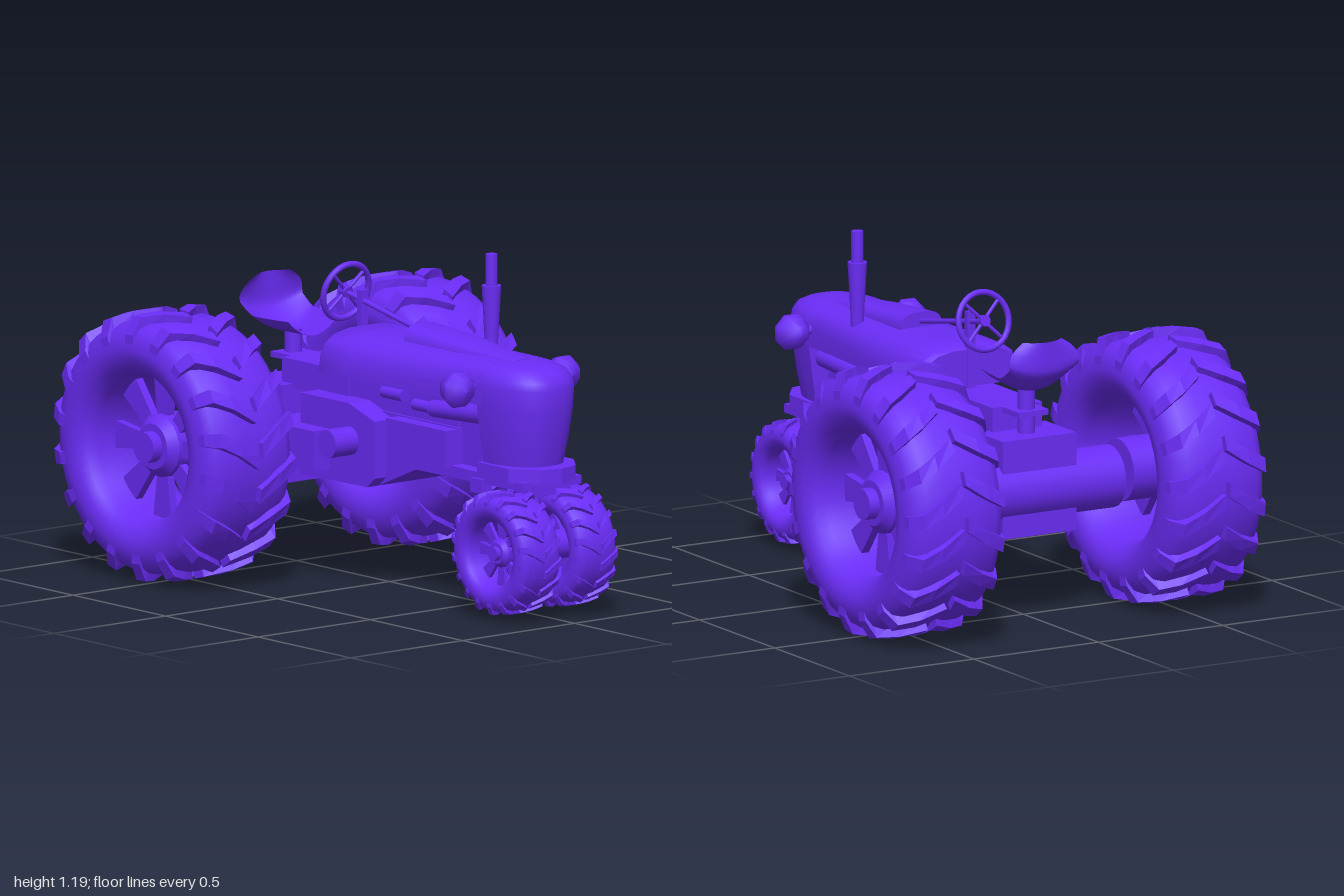
import * as THREE from 'three';
import { mergeGeometries, toCreasedNormals } from 'three/addons/utils/BufferGeometryUtils.js';

const paint = new THREE.MeshStandardMaterial({ color: 0x6a2cf5 });
const paintThin = new THREE.MeshStandardMaterial({ color: 0x6a2cf5, side: THREE.DoubleSide });

function add(parent, name, geo, x = 0, y = 0, z = 0, mat = paint) {
  const m = new THREE.Mesh(geo, mat);
  m.name = name;
  m.position.set(x, y, z);
  parent.add(m);
  return m;
}

// box given by its limits
function box(parent, name, x0, x1, y0, y1, z0, z1) {
  return add(parent, name, new THREE.BoxGeometry(x1 - x0, y1 - y0, z1 - z0),
    (x0 + x1) / 2, (y0 + y1) / 2, (z0 + z1) / 2);
}

// cylinder running from point a to point b
function rod(parent, name, a, b, ra, rb = ra, sides = 16) {
  const A = new THREE.Vector3(...a), B = new THREE.Vector3(...b), d = B.clone().sub(A);
  const m = add(parent, name, new THREE.CylinderGeometry(rb, ra, d.length(), sides));
  m.position.copy(A).add(B).multiplyScalar(0.5);
  m.quaternion.setFromUnitVectors(new THREE.Vector3(0, 1, 0), d.normalize());
  return m;
}

// side outline of [z, y] points, extruded from x0 to x1
function sideProfile(parent, name, pts, x0, x1) {
  const shape = new THREE.Shape(pts.map(p => new THREE.Vector2(...p)));
  const geo = new THREE.ExtrudeGeometry(shape, { depth: x1 - x0, bevelEnabled: false });
  return add(parent, name, geo.rotateY(-Math.PI / 2), x1);
}

// closed skin over a list of equal rings, capped at both ends
function loft(rings, crease = 0.7) {
  const n = rings[0].length, pos = rings.flat(2), idx = [];
  for (let i = 0; i < rings.length - 1; i++) {
    for (let j = 0; j < n; j++) {
      const k = (j + 1) % n, a = i * n + j, b = i * n + k;
      idx.push(a, b, a + n, b, b + n, a + n);
    }
  }
  [0, rings.length - 1].forEach((r, end) => {
    const c = pos.length / 3;
    for (let q = 0; q < 3; q++) pos.push(rings[r].reduce((s, p) => s + p[q], 0) / n);
    for (let j = 0; j < n; j++) {
      const a = r * n + j, b = r * n + (j + 1) % n;
      idx.push(c, ...(end ? [a, b] : [b, a]));
    }
  });
  const geo = new THREE.BufferGeometry();
  geo.setAttribute('position', new THREE.Float32BufferAttribute(pos, 3));
  geo.setIndex(idx);
  return toCreasedNormals(geo, crease);
}

// one arm of the chevron tread: a bar bent over the tyre's shoulder
function treadBar(side, angle) {
  const across = [0.008, 0.09, 0.16, 0.19], top = [0.472, 0.472, 0.462, 0.4], lag = [0, 0.12, 0.2, 0.22];
  const geo = new THREE.BoxGeometry(1, 1, 1, 3, 1, 1), p = geo.attributes.position;
  for (let i = 0; i < p.count; i++) {
    const k = Math.round((p.getX(i) + 0.5) * 3);
    const r = p.getY(i) > 0 ? top[k] : top[k] - 0.06;
    // turning the angle with the side keeps every face outward
    const a = angle + lag[k] - side * p.getZ(i) * 0.11;
    p.setXYZ(i, side * across[k], r * Math.sin(a), r * Math.cos(a));
  }
  const flat = geo.toNonIndexed();
  flat.computeVertexNormals();
  return flat;
}

// full wheel of radius 0.47; side says which way the hub points
function wheel(parent, name, side, x, y, z, scale) {
  const g = new THREE.Group();
  g.name = name;
  g.position.set(x, y, z);
  g.scale.setScalar(scale);
  parent.add(g);
  const half = [[0.255, 0.13], [0.275, 0.165], [0.31, 0.188], [0.35, 0.195], [0.39, 0.184], [0.42, 0.167], [0.438, 0.135], [0.447, 0.05]];
  const profile = [...half.map(([r, h]) => [r, -h]), ...half.reverse(), [0.255, -0.13]]
    .map(p => new THREE.Vector2(p[0], p[1]));
  add(g, 'tyre', toCreasedNormals(new THREE.LatheGeometry(profile, 48).rotateZ(-Math.PI / 2), 0.8));
  const bars = [];
  for (let i = 0; i < 18; i++) {
    for (const s of [-1, 1]) bars.push(treadBar(s, (i + (s > 0 ? 0.25 : 0)) * Math.PI / 9));
  }
  add(g, 'tread', mergeGeometries(bars));
  // spokes widen toward the rim
  const spoke = new THREE.Shape([[-0.024, 0.08], [0.024, 0.08], [0.05, 0.265], [-0.05, 0.265]].map(p => new THREE.Vector2(...p)));
  for (let i = 0; i < 8; i++) {
    const geo = new THREE.ExtrudeGeometry(spoke, { depth: 0.03, bevelEnabled: false });
    geo.translate(0, 0, -0.015).rotateY(Math.PI / 2).rotateX(i * Math.PI / 4);
    add(g, 'spoke', geo, side * 0.04);
  }
  rod(g, 'hub', [-side * 0.16, 0, 0], [side * 0.07, 0, 0], 0.11, 0.11, 24);
  rod(g, 'hubStep', [side * 0.07, 0, 0], [side * 0.1, 0, 0], 0.11, 0.08, 24);
  rod(g, 'hubCap', [side * 0.09, 0, 0], [side * 0.14, 0, 0], 0.055, 0.055, 16);
}

// rounded-top cross-section at z
function archRing(w, base, shoulder, top, z) {
  const h = top - shoulder;
  const right = [[w, base], [w, shoulder], [0.97 * w, shoulder + 0.35 * h], [0.88 * w, shoulder + 0.66 * h], [0.7 * w, shoulder + 0.88 * h], [0.37 * w, top]];
  return [...right, ...right.map(([x, y]) => [-x, y]).reverse()].map(([x, y]) => [x, y, z]);
}

export function createModel() {
  const model = new THREE.Group();
  model.name = 'tractor';

  // wheels and axles
  for (const s of [-1, 1]) {
    wheel(model, 'rearWheel', s, s * 0.525, 0.47, -0.525, 1);
    wheel(model, 'frontWheel', s, s * 0.125, 0.232, 0.785, 0.458);
  }
  rod(model, 'rearAxle', [-0.33, 0.455, -0.53], [0.33, 0.455, -0.53], 0.11, 0.11, 24);
  rod(model, 'frontAxle', [-0.12, 0.232, 0.785], [0.12, 0.232, 0.785], 0.024);
  rod(model, 'frontPost', [0, 0.22, 0.785], [0, 0.47, 0.785], 0.019);
  box(model, 'postCollar', -0.05, 0.05, 0.42, 0.47, 0.73, 0.84);

  // hood, nose and top ridge
  add(model, 'hood', loft([[-0.15, 0.188, 0.765, 0.865], [-0.13, 0.2, 0.765, 0.878], [0, 0.2, 0.765, 0.88], [0.2, 0.19, 0.77, 0.88],
    [0.4, 0.176, 0.785, 0.88], [0.6, 0.165, 0.8, 0.88], [0.69, 0.163, 0.8, 0.88]]
    .map(([z, w, shoulder, top]) => archRing(w, 0.735, shoulder, top, z))));
  const nose = [[0.53, 0.13, 0.205], [0.62, 0.145, 0.225], [0.72, 0.158, 0.24], [0.8, 0.163, 0.245],
    [0.828, 0.158, 0.238], [0.853, 0.143, 0.218], [0.87, 0.114, 0.18], [0.88, 0.06, 0.11]];
  add(model, 'grilleNose', loft(nose.map(([y, w, d]) => Array.from({ length: 21 }, (_, i) => {
    const a = (i / 20 - 0.5) * Math.PI, s = Math.sin(a);
    return [w * Math.sign(s) * Math.abs(s) ** 0.8, y, 0.665 + d * Math.max(0, Math.cos(a)) ** 0.85];
  }))));
  add(model, 'hoodRidge', loft([archRing(0.085, 0.86, 0.872, 0.932, 0.18), archRing(0.08, 0.86, 0.87, 0.912, 0.45), archRing(0.05, 0.86, 0.868, 0.882, 0.72)]));
  box(model, 'dashPost', -0.016, 0.016, 0.72, 1.0, -0.155, -0.135);

  // front bolster
  const bolster = new THREE.Shape([[-0.145, -0.65], [0.145, -0.65], [0.145, -0.82], [0.08, -0.91], [0, -0.93], [-0.08, -0.91], [-0.145, -0.82]]
    .map(p => new THREE.Vector2(...p)));
  add(model, 'frontBolster', new THREE.ExtrudeGeometry(bolster, { depth: 0.05, bevelEnabled: false }).rotateX(-Math.PI / 2), 0, 0.48);

  // frame, engine and gearbox
  sideProfile(model, 'frame', [[0.88, 0.455], [0.88, 0.485], [0.1, 0.5], [-0.26, 0.5], [-0.26, 0.36], [0.1, 0.365], [0.3, 0.45]], -0.13, 0.13);
  box(model, 'engineBlock', -0.1, 0.1, 0.47, 0.62, -0.02, 0.49);
  box(model, 'radiatorCore', -0.08, 0.08, 0.47, 0.75, 0.4, 0.67);
  for (const s of [-1, 1]) {
    const x = s * 0.12;
    box(model, 'crankCover', x - 0.035, x + 0.035, 0.485, 0.615, 0.17, 0.49);
    rod(model, 'manifold', [s * 0.1, 0.69, 0.66], [s * 0.1, 0.67, 0.36], 0.036, 0.03);
    rod(model, 'manifoldEnd', [s * 0.1, 0.67, 0.36], [s * 0.1, 0.67, 0.26], 0.02);
    rod(model, 'filter', [s * 0.13, 0.7, 0.24], [s * 0.13, 0.7, 0.13], 0.022);
    box(model, 'frameFoot', x - 0.025, x + 0.025, 0.42, 0.47, 0.61, 0.67);
  }
  box(model, 'cylinderHead', -0.09, 0.09, 0.61, 0.75, -0.13, 0.48);
  sideProfile(model, 'gearbox', [[0.14, 0.4], [0.1, 0.365], [-0.26, 0.36], [-0.26, 0.645], [0, 0.645], [0.14, 0.6]], -0.182, 0.182);
  box(model, 'platform', -0.255, 0.255, 0.4, 0.54, -0.43, -0.1);
  box(model, 'differential', -0.148, 0.148, 0.3, 0.645, -0.61, -0.4);
  box(model, 'seatBeam', -0.1, 0.1, 0.63, 0.73, -0.46, -0.1);

  // belt housing on one side, pulley on the other
  sideProfile(model, 'beltHousing', [[0.165, 0.43], [0.11, 0.365], [-0.03, 0.365], [-0.1, 0.44], [-0.16, 0.66], [-0.13, 0.71], [-0.08, 0.7], [0.1, 0.61], [0.165, 0.555]], 0.15, 0.222);
  sideProfile(model, 'beltCover', [[0.145, 0.44], [0.1, 0.385], [-0.02, 0.385], [-0.07, 0.44], [-0.07, 0.56], [-0.02, 0.61], [0.09, 0.595], [0.145, 0.545]], 0.2, 0.24);
  rod(model, 'pulley', [-0.285, 0.515, 0.005], [-0.15, 0.515, 0.005], 0.05, 0.05, 20);

  // exhaust stack
  rod(model, 'exhaustBase', [0.125, 0.83, 0.4], [0.125, 0.95, 0.4], 0.022, 0.025);
  rod(model, 'muffler', [0.125, 0.9, 0.4], [0.125, 1.08, 0.4], 0.024, 0.034);
  rod(model, 'exhaustPipe', [0.125, 1.07, 0.4], [0.125, 1.19, 0.4], 0.021);

  // headlights
  const lamp = [[0, -0.065], [0.03, -0.06], [0.055, -0.025], [0.065, 0], [0.065, 0.015], [0.045, 0.045], [0, 0.058]];
  for (const s of [-1, 1]) {
    const geo = new THREE.LatheGeometry(lamp.map(p => new THREE.Vector2(...p)), 8, Math.PI / 8).rotateX(Math.PI / 2);
    add(model, 'headlight', geo, s * 0.235, 0.795, 0.65);
    rod(model, 'headlightArm', [s * 0.14, 0.795, 0.65], [s * 0.2, 0.795, 0.65], 0.015);
  }

  // steering wheel and column
  rod(model, 'steeringColumn', [0, 0.9, 0.18], [0, 0.98, -0.235], 0.009);
  const steering = new THREE.Group();
  steering.name = 'steeringWheel';
  steering.position.set(0, 0.982, -0.235);
  steering.rotation.x = 0.22;
  model.add(steering);
  add(steering, 'steeringRim', new THREE.TorusGeometry(0.1, 0.011, 8, 28));
  for (let i = 0; i < 4; i++) {
    const a = (i + 0.5) * Math.PI / 2;
    rod(steering, 'steeringSpoke', [0, 0, 0], [0.1 * Math.cos(a), 0.1 * Math.sin(a), 0], 0.007, 0.007, 8);
  }
  rod(steering, 'steeringHub', [0, 0, -0.015], [0, 0, 0.015], 0.02);

  // scooped seat with a tall back, on a bracket
  const seat = new THREE.PlaneGeometry(2, 1, 14, 14), p = seat.attributes.position;
  for (let i = 0; i < p.count; i++) {
    const u = p.getX(i), v = p.getY(i) + 0.5;
    const w = 0.14 * (1 - 0.45 * Math.max(0, (v - 0.7) / 0.3) ** 2.5 - 0.2 * (1 - v) ** 4);
    const back = Math.max(0, (v - 0.4) / 0.6);
    p.setXYZ(i, u * w, 0.8 + 0.19 * back ** 1.2 + 0.06 * u * u * (1 - back), -0.41 - 0.25 * Math.min(1, v * 1.5) ** 0.9 + 0.035 * u * u * back);
  }
  seat.computeVertexNormals();
  add(model, 'seat', seat, 0, 0, 0, paintThin);
  box(model, 'seatBracket', -0.06, 0.06, 0.71, 0.73, -0.57, -0.44);
  rod(model, 'seatPost', [0, 0.63, -0.52], [0, 0.81, -0.52], 0.03);

  return model;
}
